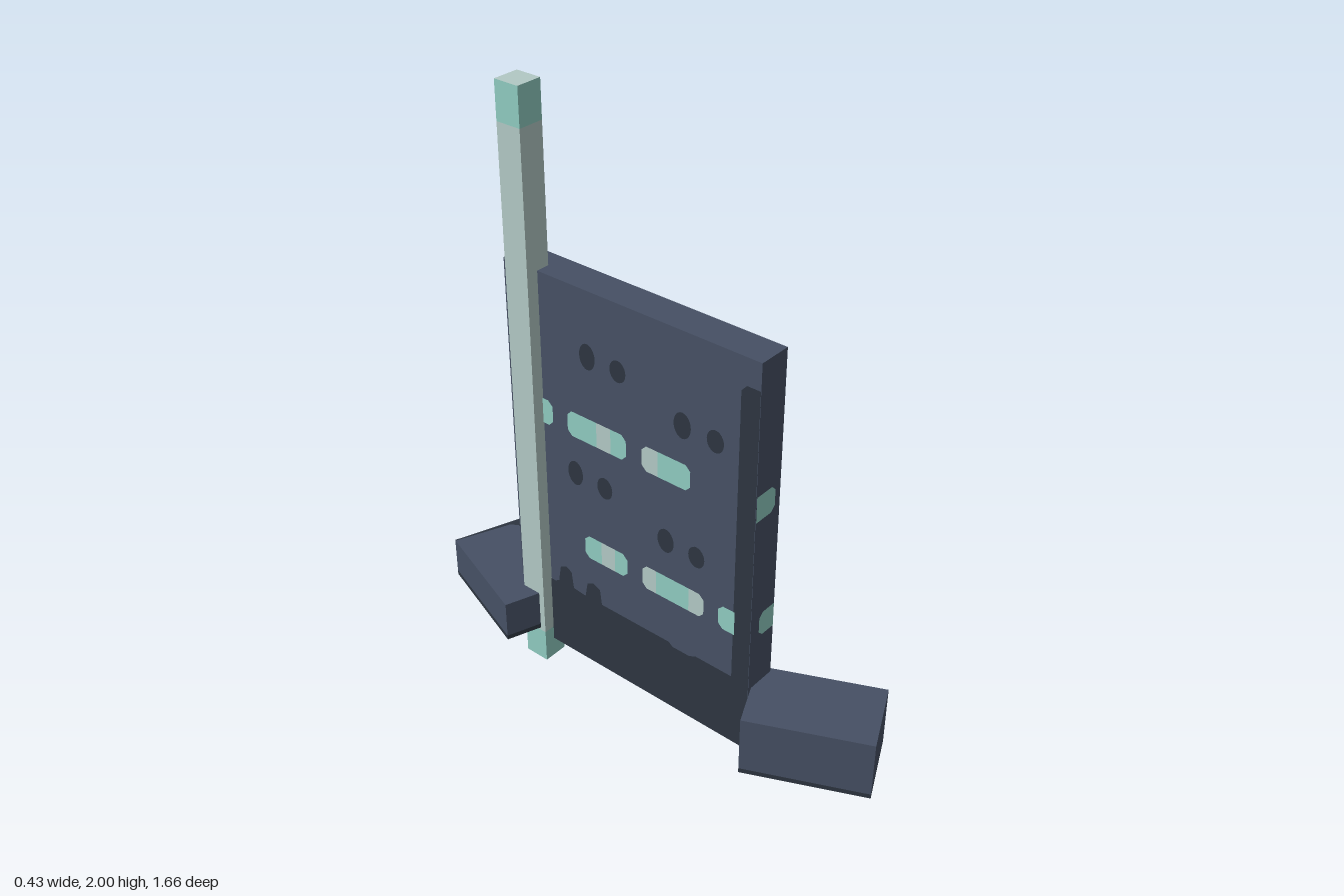
import * as THREE from 'three';

const mat = (name, color) => Object.assign(new THREE.MeshStandardMaterial({ color }), { name });

export function createModel() {
  const slate = mat('slate', 0x465064);
  const dark = mat('dark slate', 0x2d3540);
  const teal = mat('teal', 0x8fcbc0);
  const pale = mat('pale grey green', 0xb2c8c4);
  const model = new THREE.Group();
  model.name = 'panelWithPole';

  const box = (parent, name, w, h, d, x, y, z, material) => {
    const m = new THREE.Mesh(new THREE.BoxGeometry(w, h, d), material);
    m.position.set(x, y, z);
    m.name = name;
    parent.add(m);
    return m;
  };
  const plate = (parent, name, shape, material) => {
    const m = new THREE.Mesh(new THREE.ShapeGeometry(shape, 12), material);
    m.name = name;
    parent.add(m);
    return m;
  };
  const outline = (pts) => new THREE.Shape(pts.map((p) => new THREE.Vector2(...p)));
  // Rectangle whose left and right corners may be clipped
  const strip = (x0, x1, y0, y1, cl = 0, cr = 0) => outline([
    [x0 + cl, y0], [x1 - cr, y0], [x1, y0 + cr], [x1, y1 - cr],
    [x1 - cr, y1], [x0 + cl, y1], [x0, y1 - cl], [x0, y0 + cl],
  ].filter((p, i, a) => i === 0 || p[0] !== a[i - 1][0] || p[1] !== a[i - 1][1]));

  // Upright slab, with a dark underside
  const W = 0.11, L = 0.935, zc = -0.0625;
  const slab = new THREE.Group();
  slab.name = 'slab';
  slab.position.set(-0.005, 0, zc);
  model.add(slab);
  box(slab, 'slabBody', W, 1.37, L, 0, 0.755, 0, [slate, slate, slate, dark, slate, slate]);
  box(slab, 'topDarkEdge', 0.095, 0.006, 0.05, 0.0075, 1.44, -L / 2 + 0.025, dark);

  // Markings for one wide face and one narrow face
  const u = (z) => zc - z;
  const markings = new THREE.Group();
  markings.name = 'markings';
  const wide = new THREE.Group();
  wide.name = 'wideFaceMarkings';
  wide.rotation.y = Math.PI / 2;
  wide.position.x = W / 2 + 0.002;
  markings.add(wide);

  // Dark border along the bottom and one edge
  plate(wide, 'darkBorder', outline([
    [0.345, 0.07], [-0.53, 0.07], [-0.53, 1.355], [-0.485, 1.355], [-0.467, 1.335],
    [-0.467, 0.33], [-0.33, 0.33], [-0.305, 0.318], [-0.24, 0.318], [-0.225, 0.33],
    [-0.11, 0.33], [0.05, 0.33], [0.057, 0.385], [0.085, 0.398], [0.11, 0.385],
    [0.12, 0.33], [0.17, 0.335], [0.178, 0.395], [0.2, 0.408], [0.225, 0.395],
    [0.235, 0.335], [0.25, 0.325], [0.32, 0.325], [0.335, 0.305],
  ].map(([z, y]) => [u(z), y])), dark);

  // Dark oval spots
  [[0.312, 1.307, 0.024, 0.033], [0.085, 1.226, 0.03, 0.043], [-0.031, 1.222, 0.03, 0.036],
    [-0.268, 1.14, 0.031, 0.043], [-0.385, 1.137, 0.03, 0.037], [0.145, 0.796, 0.03, 0.043],
    [0.027, 0.791, 0.03, 0.038], [-0.21, 0.712, 0.031, 0.042], [-0.326, 0.708, 0.03, 0.037],
  ].forEach(([z, y, rx, ry]) => {
    plate(wide, 'spot', new THREE.Shape().absellipse(u(z), y, rx, ry, 0, Math.PI * 2), dark);
  });

  // Rows of light bars: [start z, end z, material, clip start, clip end]
  const c = 0.017;
  const rows = [
    [0.928, 1.015, [[0.35, 0.23, teal, c, c], [0.17, 0.055, teal, c, 0], [0.055, 0, pale, 0, 0],
      [0, -0.06, teal, 0, c], [-0.12, -0.18, pale, c, 0], [-0.18, -0.3, teal, 0, c]]],
    [0.495, 0.58, [[0.113, 0.045, teal, c, 0], [0.045, -0.01, pale, 0, 0], [-0.01, -0.06, teal, 0, c],
      [-0.12, -0.175, pale, c, 0], [-0.175, -0.3, teal, 0, 0], [-0.3, -0.357, pale, 0, c],
      [-0.412, -0.472, teal, c, 0]]],
  ];
  for (const [y0, y1, bars] of rows) {
    for (const [z0, z1, m, cl, cr] of bars) {
      plate(wide, 'lightBar', strip(u(z0), u(z1), y0, y1, cl, cr), m).position.z = 0.001;
    }
  }

  // Narrow face: two bars and a dark foot
  const narrow = new THREE.Group();
  narrow.name = 'narrowFaceMarkings';
  narrow.position.z = L / 2 + 0.002;
  plate(narrow, 'edgeBar', strip(-0.055, 0.03, 0.928, 1.015, 0, c), teal);
  plate(narrow, 'edgeBar', strip(-0.018, 0.052, 0.495, 0.58, c, 0), teal);
  plate(narrow, 'edgeFoot', strip(-0.055, 0.055, 0.07, 0.13), dark);
  markings.add(narrow);

  // The opposite faces carry the same markings turned half round
  const opposite = markings.clone();
  opposite.rotation.y = Math.PI;
  slab.add(markings, opposite);

  // Square pole with teal ends
  const pole = new THREE.Group();
  pole.name = 'pole';
  pole.position.set(-0.0575, 0, -0.439);
  model.add(pole);
  const P = 0.087;
  box(pole, 'poleShaft', P, 1.76, P, 0, 1, 0, pale);
  const ends = [teal, teal, pale, pale, teal, teal];
  for (const y of [0.06, 1.94]) box(pole, 'poleEnd', P, 0.12, P, 0, y, 0, ends);

  // Angled blocks at the foot of each end, on dark bases
  const footBlock = (name, x, z, angle, y0, h) => {
    const g = new THREE.Group();
    g.name = name;
    g.position.set(x, y0, z);
    g.rotation.y = angle;
    const base = 0.016;
    box(g, 'blockBase', 0.244, base, 0.397, 0, base / 2, 0, dark);
    box(g, 'blockBody', 0.244, h - base, 0.397, 0, (h + base) / 2, 0, slate);
    model.add(g);
    return g;
  };
  footBlock('frontBlock', 0.0175, 0.594, 0.43, 0.1, 0.21);
  const back = footBlock('backBlock', -0.0325, -0.602, -0.346, 0.13, 0.145);

  // Dark rim on the top of the back block
  const rim = plate(back, 'blockRim', outline([
    [-0.122, 0.1985], [-0.122, 0.194], [0.08, 0.184], [0.102, 0.165],
    [0.108, -0.1], [0.122, -0.1], [0.122, 0.1985],
  ]), dark);
  rim.rotation.x = -Math.PI / 2;
  rim.position.y = 0.147;

  return model;
}
